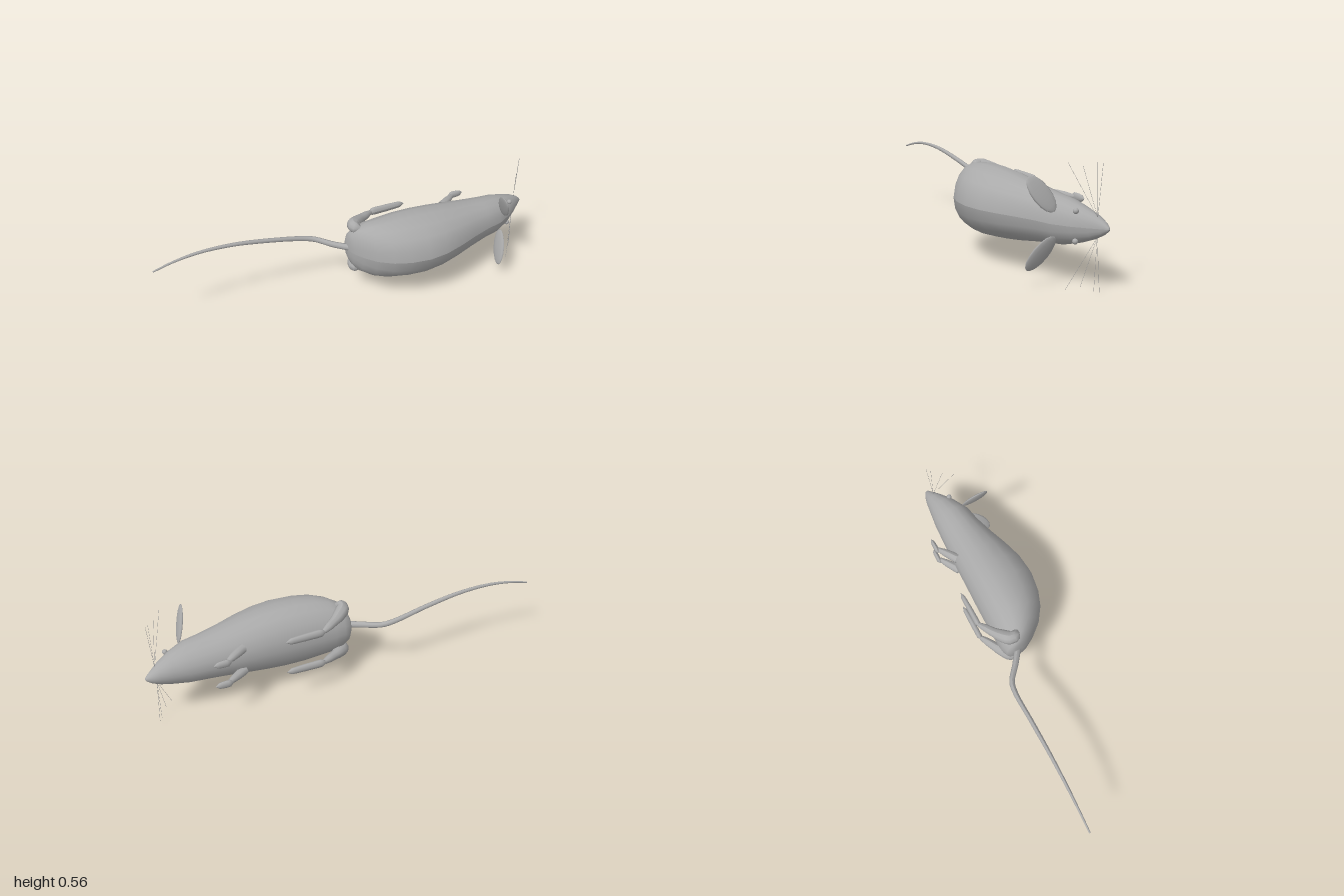
import * as THREE from 'three';

const fur = new THREE.MeshStandardMaterial({ color: 0xaaaaaa, side: THREE.DoubleSide });
fur.name = 'grey fur';

const MID = 0.285; // height of the symmetry plane; the animal lies with its back to +z
const V = (x, y, z) => new THREE.Vector3(x, y, z);

function add(parent, geometry, name) {
  const mesh = new THREE.Mesh(geometry, fur);
  mesh.name = name;
  parent.add(mesh);
  return mesh;
}

// Round tube whose radius follows a list of values spread evenly along the path
function taperedTube(points, radii, segs, sides, flatten = 1) {
  const curve = new THREE.CatmullRomCurve3(points);
  const geo = new THREE.TubeGeometry(curve, segs, 1, sides, false);
  const pos = geo.attributes.position;
  const v = new THREE.Vector3();
  for (let i = 0; i <= segs; i++) {
    const t = (i / segs) * (radii.length - 1);
    const k = Math.min(Math.floor(t), radii.length - 2);
    const r = THREE.MathUtils.lerp(radii[k], radii[k + 1], t - k);
    const c = curve.getPointAt(i / segs);
    for (let j = 0; j <= sides; j++) {
      const n = i * (sides + 1) + j;
      v.fromBufferAttribute(pos, n).sub(c).multiplyScalar(r);
      v.z *= flatten;
      v.add(c);
      pos.setXYZ(n, v.x, v.y, v.z);
    }
  }
  geo.computeVertexNormals();
  return geo;
}

// Body and head in one skin: x, half width, z of back, z of widest line, z of belly
function bodyGeometry() {
  const stations = [
    [-0.045, 0, -0.07, -0.07, -0.07], [-0.042, 0.055, -0.03, -0.07, -0.1],
    [-0.03, 0.09, 0.002, -0.05, -0.118], [0, 0.125, 0.048, -0.03, -0.13],
    [0.05, 0.148, 0.105, -0.015, -0.136], [0.12, 0.161, 0.152, 0, -0.138],
    [0.2, 0.168, 0.182, 0, -0.138], [0.3, 0.167, 0.197, 0, -0.137],
    [0.4, 0.158, 0.187, 0, -0.135], [0.5, 0.144, 0.157, 0, -0.134],
    [0.6, 0.127, 0.12, -0.005, -0.132], [0.7, 0.112, 0.088, -0.012, -0.129],
    [0.78, 0.103, 0.072, -0.02, -0.125], [0.86, 0.08, 0.03, -0.036, -0.116],
    [0.92, 0.055, -0.015, -0.056, -0.109], [0.96, 0.031, -0.048, -0.07, -0.1],
    [0.985, 0.01, -0.068, -0.077, -0.086], [0.99, 0, -0.077, -0.077, -0.077],
  ];
  const sides = 18, p = [], idx = [];
  stations.forEach(([x, w, top, mid, low], i) => {
    for (let j = 0; j <= sides; j++) {
      const a = (j / sides) * Math.PI * 2, c = Math.cos(a);
      p.push(x, MID + w * Math.sin(a), mid + c * (c > 0 ? top - mid : mid - low));
      if (i < stations.length - 1 && j < sides) {
        const n = i * (sides + 1) + j, m = n + sides + 1;
        idx.push(n, m, n + 1, m, m + 1, n + 1);
      }
    }
  });
  const geo = new THREE.BufferGeometry();
  geo.setAttribute('position', new THREE.Float32BufferAttribute(p, 3));
  geo.setIndex(idx);
  geo.computeVertexNormals();
  return geo;
}

// Everything that comes in pairs; s is the side of the symmetry plane
function addSide(parent, s) {
  const P = (x, w, z) => V(x, MID + s * w, z);

  // Ear: thin dished oval leaning back and outward
  const earGeo = new THREE.SphereGeometry(1, 12, 8);
  const long = P(0.737, 0.203, 0.15).sub(P(0.79, 0.06, 0.05)).normalize();
  const face = V(1, s * 0.2, 0).addScaledVector(long, -V(1, s * 0.2, 0).dot(long)).normalize();
  const across = new THREE.Vector3().crossVectors(long, face);
  const ear = add(parent, earGeo, 'ear');
  ear.quaternion.setFromRotationMatrix(new THREE.Matrix4().makeBasis(across, long, face));
  ear.scale.set(0.047, 0.095, 0.01);
  ear.position.copy(P(0.763, 0.13, 0.105));

  // Eye
  const eye = add(parent, new THREE.SphereGeometry(0.013, 10, 8), 'eye');
  eye.position.copy(P(0.868, 0.066, 0.003));

  // Hind leg and long flat foot
  add(parent, taperedTube([P(0.03, 0.118, -0.025), P(-0.005, 0.122, -0.07), P(0.035, 0.11, -0.115), P(0.14, 0.092, -0.182)],
    [0, 0.03, 0.034, 0.03, 0.023, 0.02, 0.012], 18, 10), 'hindLeg');
  add(parent, taperedTube([P(0.125, 0.092, -0.185), P(0.23, 0.091, -0.186), P(0.337, 0.09, -0.188)],
    [0, 0.021, 0.022, 0.021, 0.021, 0.02, 0.019, 0.017, 0], 16, 10, 0.65), 'hindFoot');

  // Front leg and paw
  add(parent, taperedTube([P(0.525, 0.065, -0.115), P(0.57, 0.064, -0.145), P(0.625, 0.061, -0.182)],
    [0.024, 0.022, 0.018, 0.01], 9, 10), 'frontLeg');
  add(parent, taperedTube([P(0.6, 0.061, -0.187), P(0.65, 0.061, -0.187), P(0.69, 0.061, -0.188)],
    [0, 0.019, 0.02, 0.019, 0.016, 0], 10, 10, 0.6), 'frontPaw');

  // Whiskers fanning from the cheek
  const root = P(0.935, 0.043, -0.06);
  [[0.86, 0.276, 0.045], [0.9, 0.262, -0.003], [0.935, 0.278, -0.05], [0.95, 0.28, -0.068]].forEach((e) => {
    const path = new THREE.LineCurve3(root, P(...e));
    add(parent, new THREE.TubeGeometry(path, 1, 0.0008, 3, false), 'whisker');
  });
}

export function createModel() {
  const model = new THREE.Group();
  model.name = 'mouse';
  add(model, bodyGeometry(), 'body');

  // Tail
  add(model, taperedTube([
    V(-0.02, 0.288, -0.05), V(-0.1, 0.297, -0.105), V(-0.18, 0.314, -0.165), V(-0.24, 0.328, -0.178),
    V(-0.42, 0.37, -0.18), V(-0.6, 0.4, -0.181), V(-0.77, 0.405, -0.183), V(-0.9, 0.387, -0.185), V(-1, 0.36, -0.186),
  ], [0.017, 0.014, 0.012, 0.011, 0.009, 0.007, 0.004], 48, 8), 'tail');

  for (const [s, name] of [[1, 'upperSide'], [-1, 'lowerSide']]) {
    const side = new THREE.Group();
    side.name = name;
    addSide(side, s);
    model.add(side);
  }
  return model;
}
